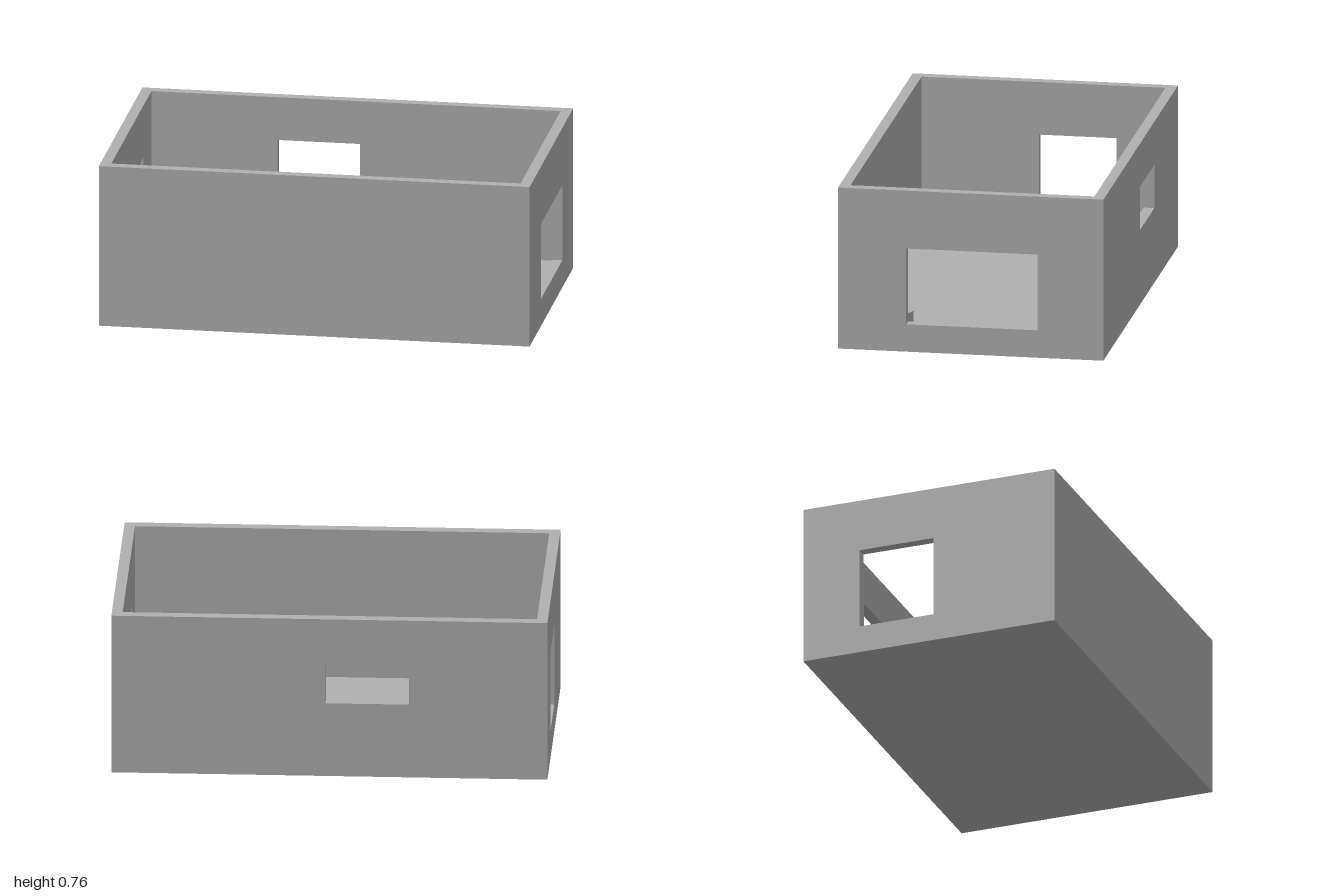
import * as THREE from 'three';
import { toCreasedNormals } from 'three/addons/utils/BufferGeometryUtils.js';

const W = 2, H = 0.765, D = 1.234; // outer size
const T = 0.05;                    // wall thickness
const FLOOR = 0.045;
const BOSS_TOP = 0.122;

function rectangle(path, x0, y0, x1, y1) {
  path.moveTo(x0, y0);
  path.lineTo(x1, y0);
  path.lineTo(x1, y1);
  path.lineTo(x0, y1);
  path.closePath();
  return path;
}

// Upright panel centred on x, with an optional opening [x0, y0, x1, y1]
function panel(width, opening) {
  const shape = rectangle(new THREE.Shape(), -width / 2, 0, width / 2, H);
  if (opening) shape.holes.push(rectangle(new THREE.Path(), ...opening));
  return new THREE.ExtrudeGeometry(shape, { depth: T, bevelEnabled: false });
}

// Hollow round screw post standing on the floor
function postGeometry() {
  const shape = new THREE.Shape().absarc(0, 0, 0.075, 0, Math.PI * 2, false);
  shape.holes.push(new THREE.Path().absarc(0, 0, 0.034, 0, Math.PI * 2, true));
  const geometry = new THREE.ExtrudeGeometry(shape, {
    depth: BOSS_TOP - FLOOR, bevelEnabled: false, curveSegments: 32,
  });
  geometry.rotateX(-Math.PI / 2);
  return toCreasedNormals(geometry, 0.6);
}

export function createModel() {
  const group = new THREE.Group();
  const grey = new THREE.MeshStandardMaterial({ color: 0xb0b0b0 });
  grey.name = 'grey plastic';

  function add(name, geometry, x, y, z, turn = 0) {
    const mesh = new THREE.Mesh(geometry, grey);
    mesh.name = name;
    mesh.position.set(x, y, z);
    mesh.rotation.y = turn;
    group.add(mesh);
  }

  // Long walls
  add('frontWall', panel(W), 0, 0, D / 2 - T);
  add('backWall', panel(W, [-0.365, 0.355, 0.018, 0.56]), 0, 0, -D / 2);

  // Short walls fitted between the long ones, each with a port opening
  const inner = D - 2 * T;
  add('leftWall', panel(inner, [-0.3, 0.13, 0.31, 0.49]), W / 2 - T, 0, 0, Math.PI / 2);
  add('rightWall', panel(inner, [-0.022, 0.13, 0.34, 0.515]), -W / 2, 0, 0, Math.PI / 2);

  // Floor
  add('floor', new THREE.BoxGeometry(W - 2 * T, FLOOR, inner), 0, FLOOR / 2, 0);

  // Four screw posts
  const post = postGeometry();
  for (const x of [-0.695, 0.73])
    for (const z of [-0.388, 0.388]) add('screwPost', post, x, FLOOR, z);

  return group;
}
